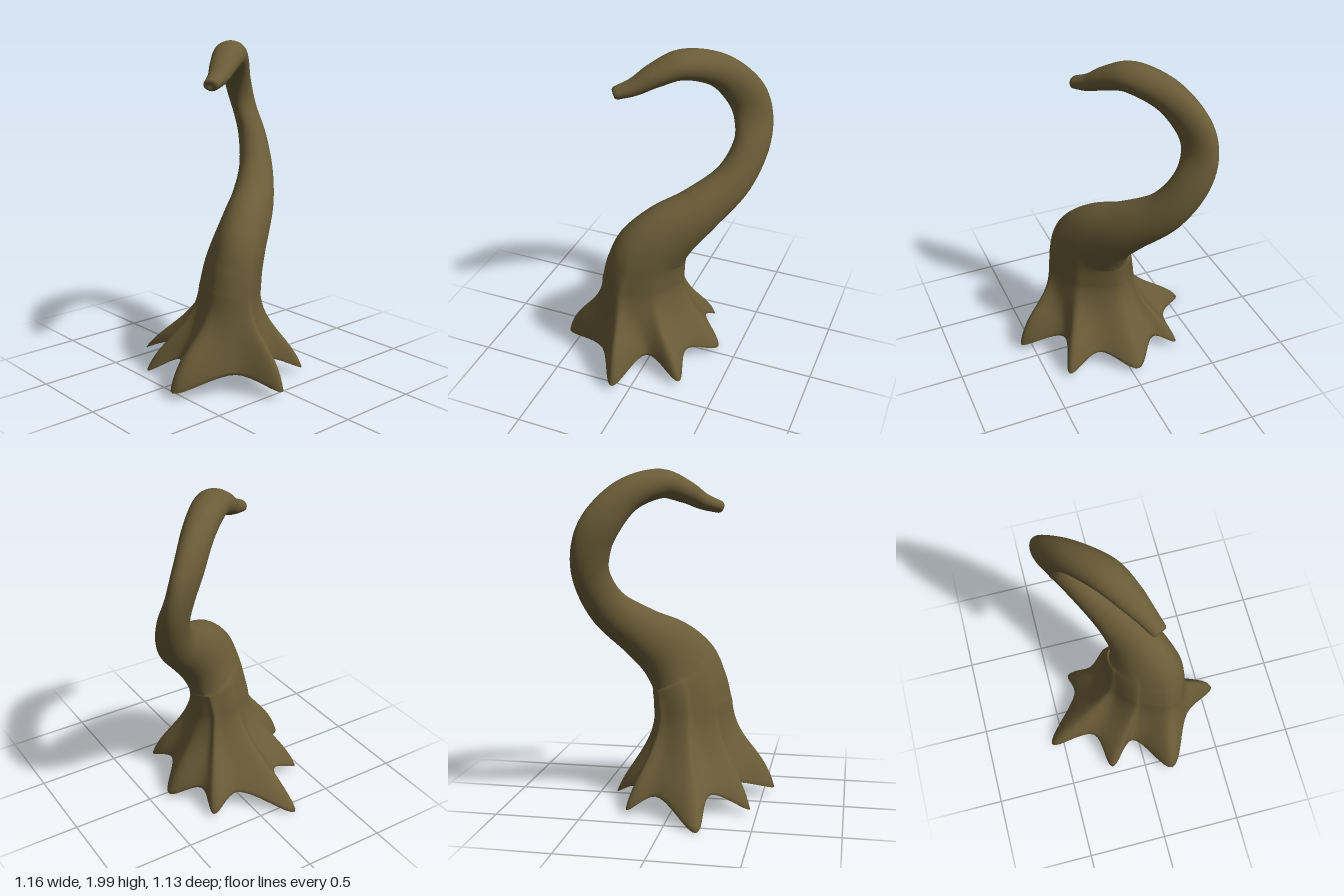
import * as THREE from 'three';

const V = (x, y, z) => new THREE.Vector3(x, y, z);

// Centre line of the trunk and hook: [x, y, z, in-plane radius, sideways radius]
const SPINE = [
  [0.10, 0.55, 0.072, 0.272, 0.18],
  [0.105, 0.68, 0.05, 0.262, 0.172],
  [0.105, 0.79, 0.01, 0.245, 0.162],
  [0.065, 0.91, -0.085, 0.205, 0.147],
  [-0.025, 1.03, -0.225, 0.155, 0.13],
  [-0.17, 1.19, -0.385, 0.122, 0.105],
  [-0.285, 1.38, -0.457, 0.11, 0.086],
  [-0.345, 1.55, -0.445, 0.115, 0.068],
  [-0.333, 1.70, -0.385, 0.115, 0.073],
  [-0.235, 1.85, -0.262, 0.098, 0.088],
  [-0.095, 1.914, -0.10, 0.085, 0.098],
  [0.00, 1.87, 0.03, 0.068, 0.083],
  [0.065, 1.81, 0.13, 0.05, 0.062],
  [0.115, 1.775, 0.225, 0.036, 0.046],
];

// Hem of the root skirt, alternating root tips and webs: [x, y, z, bulge above]
const HEM = [
  [0.58, 0.05, 0.09, 0.27], [0.36, 0.13, 0.25, 0.11],
  [0.17, 0.045, 0.57, 0.26], [-0.05, 0.125, 0.34, 0.11],
  [-0.22, 0.03, 0.46, 0.20], [-0.29, 0.13, 0.24, 0.11],
  [-0.58, 0.005, 0.20, 0.17], [-0.35, 0.12, -0.08, 0.11],
  [-0.36, 0.03, -0.25, 0.18], [-0.20, 0.12, -0.24, 0.11],
  [-0.04, 0.03, -0.385, 0.16], [0.17, 0.12, -0.24, 0.11],
  [0.38, 0.04, -0.27, 0.19], [0.33, 0.14, -0.04, 0.11],
];

const PER_SEGMENT = 8, COLS = HEM.length * PER_SEGMENT;
const SKIRT_ROWS = 18, TRUNK_ROWS = 84;
const LOW_SIDE = V(0.62, 0, -0.78), HIGH_SIDE = V(0.87, 0, -0.49); // across the hook's plane

function buildSurface() {
  const line = new THREE.CatmullRomCurve3(SPINE.map(p => V(p[0], p[1], p[2])), false, 'catmullrom');
  const radii = new THREE.CatmullRomCurve3(SPINE.map(p => V(p[3], p[4], 0)), false, 'catmullrom');
  const hemCurve = new THREE.CatmullRomCurve3(HEM.map(p => V(p[0], p[1], p[2])), true, 'centripetal');
  const bulge = new THREE.CatmullRomCurve3(HEM.map(p => V(p[3], 0, 0)), true, 'catmullrom');
  const axis = V(0.06, 0, 0.06);
  const hem = [], angle = [];
  for (let j = 0; j < COLS; j++) {
    const p = hemCurve.getPoint(j / COLS);
    hem.push(p);
    angle.push(Math.atan2(p.z - axis.z, p.x - axis.x));
  }

  // One cross-section of the trunk, with soft folds running up from the roots
  const ring = t => {
    const c = line.getPoint(t), r = radii.getPoint(t), tan = line.getTangent(t);
    const flat = LOW_SIDE.clone().lerp(HIGH_SIDE, THREE.MathUtils.smoothstep(t, 0.1, 0.55)).normalize();
    const side = flat.clone().addScaledVector(tan, -flat.dot(tan)).normalize();
    const up = tan.clone().cross(side);
    const fold = 0.03 * Math.max(0, 1 - t / 0.2);
    return angle.map((a, j) => {
      const s = 1 + fold * Math.cos(2 * Math.PI * j / (2 * PER_SEGMENT));
      const l = Math.cos(a) * flat.x + Math.sin(a) * flat.z;
      const b = Math.cos(a) * flat.z - Math.sin(a) * flat.x;
      return c.clone().addScaledVector(side, l * r.y * s).addScaledVector(up, b * r.x * s);
    });
  };

  // Flared skirt: each column curves from the trunk out over a rounded root to the hem
  const flare = ring(0).map((p, j) => {
    const waist = p.clone().lerp(hem[j], 0.08);
    const knuckle = p.clone().lerp(hem[j], 0.77);
    waist.y = 0.32;
    knuckle.y = hem[j].y + bulge.getPoint(j / COLS).x;
    return new THREE.CubicBezierCurve3(p, waist, knuckle, hem[j]);
  });
  const outer = t => flare.map(f => f.getPoint(t));
  // Hollow underside, closing as a dome
  const inner = t => outer(t).map(p => {
    const k = Math.min(1, 0.1 * (1 - t ** 3) + 0.9 * ((1 - t) / 0.7) ** 4);
    return V(p.x + (axis.x - p.x) * k, p.y - 0.04 * (1 - t), p.z + (axis.z - p.z) * k);
  });
  const point = p => angle.map(() => p.clone());

  // Rows run from the hollow inside, down to the hem and up to the end of the hook
  const rows = [point(V(axis.x, 0.4, axis.z))];
  for (let i = 1; i < SKIRT_ROWS; i++) rows.push(inner(0.3 + 0.7 * i / SKIRT_ROWS));
  for (let i = SKIRT_ROWS; i > 0; i--) rows.push(outer(i / SKIRT_ROWS));
  for (let i = 0; i <= TRUNK_ROWS; i++) rows.push(ring(i / TRUNK_ROWS));

  // Blunt, slightly dished end
  const end = line.getPoint(1), dir = line.getTangent(1), last = rows[rows.length - 1];
  rows.push(last.map(p => p.clone().lerp(end, 0.25).addScaledVector(dir, 0.012)));
  rows.push(last.map(p => p.clone().lerp(end, 0.6).addScaledVector(dir, 0.006)));
  rows.push(point(end));

  const positions = rows.flat().flatMap(p => [p.x, p.y, p.z]);
  const index = [];
  for (let r = 0; r < rows.length - 1; r++) {
    for (let j = 0; j < COLS; j++) {
      const k = (j + 1) % COLS;
      const a = r * COLS + j, b = r * COLS + k, c = a + COLS, d = b + COLS;
      if (r > 0) index.push(a, c, b);
      if (r === 0) index.push(a, c, d);
      else if (r < rows.length - 2) index.push(b, c, d);
    }
  }
  const geometry = new THREE.BufferGeometry();
  geometry.setAttribute('position', new THREE.Float32BufferAttribute(positions, 3));
  geometry.setIndex(index);
  geometry.computeVertexNormals();
  return geometry;
}

export function createModel() {
  const bark = new THREE.MeshStandardMaterial({ color: 0x6a5c37 });
  bark.name = 'olive brown bark';
  bark.side = THREE.DoubleSide;
  const trunk = new THREE.Mesh(buildSurface(), bark);
  trunk.name = 'curledTrunkWithRoots';
  const group = new THREE.Group();
  group.name = 'curledStump';
  group.add(trunk);
  return group;
}
